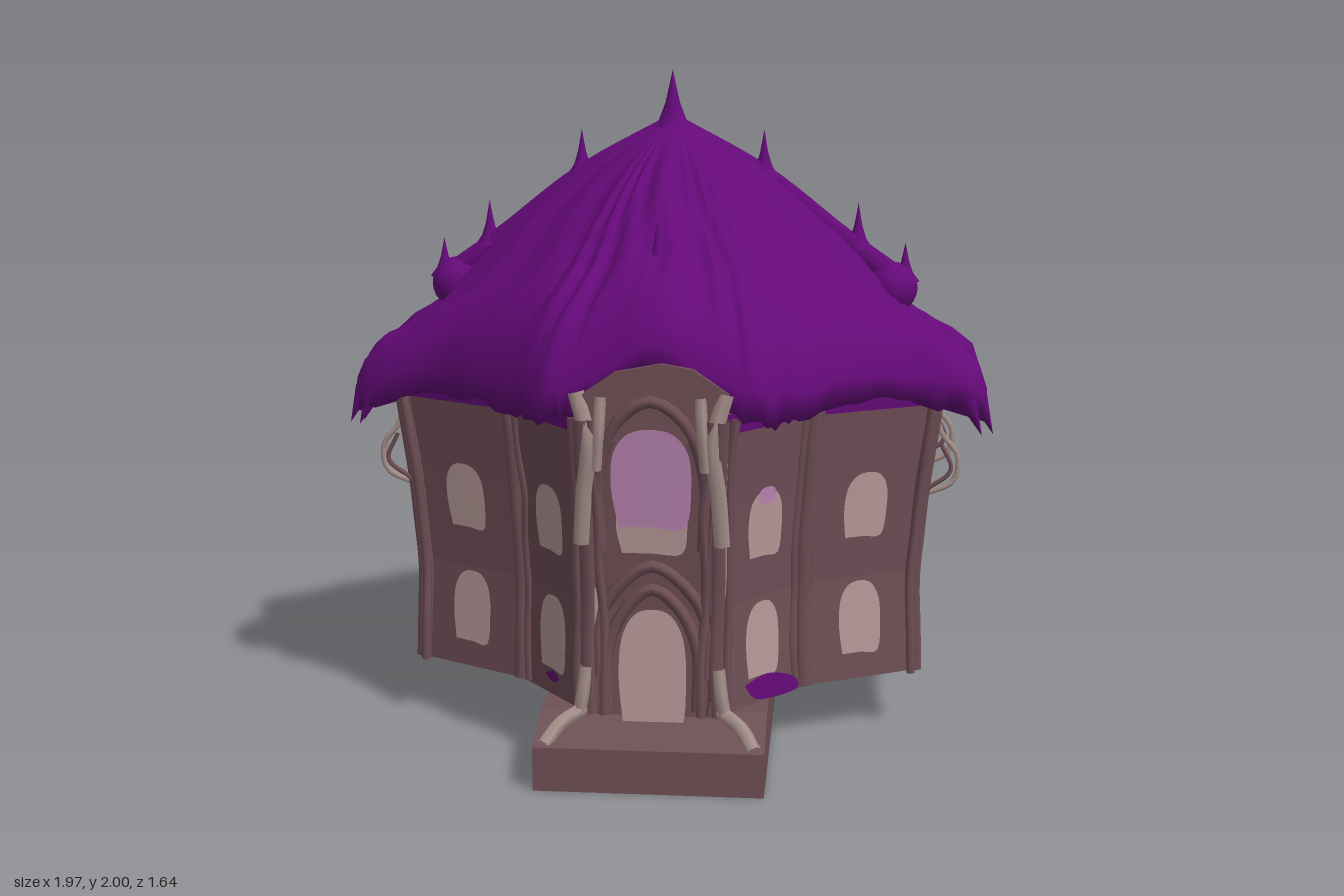
import * as THREE from 'three';

const mat = (name, color, side = THREE.FrontSide) => {
  const m = new THREE.MeshStandardMaterial({ color, side });
  m.name = name;
  return m;
};
const V = (x, y, z) => new THREE.Vector3(x, y, z);

export function createModel() {
  const group = new THREE.Group();
  const roofMat = mat('roof purple', 0x650a79, THREE.DoubleSide);
  const barkMat = mat('bark brown', 0x6f4f56, THREE.DoubleSide);
  const paleMat = mat('pale bark', 0xa58f8a, THREE.DoubleSide);
  const glassMat = mat('window beige', 0xb79a99, THREE.DoubleSide);
  const violetMat = mat('violet glass', 0xbd86b4, THREE.DoubleSide);
  let seed = 7;
  const rand = () => (seed = (seed * 16807) % 2147483647) / 2147483647;
  const jitter = (a) => (rand() - 0.5) * 2 * a;
  const add = (name, geo, material) => {
    const m = new THREE.Mesh(geo, material);
    m.name = name;
    group.add(m);
    return m;
  };
  const tube = (name, pts, r, material, seg = 14) =>
    add(name, new THREE.TubeGeometry(new THREE.CatmullRomCurve3(pts), seg, r, 6), material);

  // Closed surface through rings of points, listed bottom to top
  const loft = (rings) => {
    const n = rings[0].length, idx = [];
    for (let j = 0; j < rings.length - 1; j++) for (let i = 0; i < n; i++) {
      const a = j * n + i, b = j * n + (i + 1) % n;
      idx.push(a, b, b + n, a, b + n, a + n);
    }
    const g = new THREE.BufferGeometry().setFromPoints(rings.flat());
    g.setIndex(idx);
    return g;
  };

  // Walls: twelve-sided star-like plan, flaring towards the purple collar under the eaves
  const half = [[0.185, 0.67], [0.425, 0.38], [0.765, 0.2], [0.765, -0.2], [0.425, -0.38], [0.185, -0.69]];
  const plan = [...half, ...half.map(([x, z]) => [-x, z]).reverse()];
  const levels = [[0.18, 1], [0.5, 0.985], [0.8, 1.02], [1.02, 1.06], [1.08, 1.07]];
  const flare = (y) => {
    for (let i = 1; i < levels.length; i++) {
      const [y0, f0] = levels[i - 1], [y1, f1] = levels[i];
      if (y <= y1 || i === levels.length - 1) return f0 + (f1 - f0) * (y - y0) / (y1 - y0);
    }
  };
  const wallBand = (name, band, material) => {
    const g = loft(band.map(([y, f]) => plan.map(([x, z]) => V(x * f, y, z * f)))).toNonIndexed();
    g.computeVertexNormals();
    add(name, g, material);
  };
  wallBand('walls', levels.slice(0, 4), barkMat);
  wallBand('eaveCollar', levels.slice(3), roofMat);
  const floor = new THREE.ShapeGeometry(new THREE.Shape(plan.map(([x, z]) => new THREE.Vector2(x, z))));
  floor.rotateX(Math.PI / 2).translate(0, 0.18, 0);
  add('floor', floor, barkMat);

  // Point on wall k: u is the distance from the wall's middle, y the height
  const onWall = (k, u, y, off) => {
    const [ax, az] = plan[k], [bx, bz] = plan[(k + 1) % 12];
    const dx = bx - ax, dz = bz - az, l = Math.hypot(dx, dz), f = flare(y);
    return V(((ax + bx) / 2 + dx / l * u) * f - dz / l * off, y, ((az + bz) / 2 + dz / l * u) * f + dx / l * off);
  };
  const plate = (name, k, pts, material, off = 0.01) => {
    const curve = new THREE.SplineCurve([...pts, pts[0]].map(([x, y]) => new THREE.Vector2(x, y)));
    const g = new THREE.ShapeGeometry(new THREE.Shape(curve.getPoints(40)));
    const p = g.attributes.position;
    for (let i = 0; i < p.count; i++) {
      const q = onWall(k, p.getX(i), p.getY(i), off);
      p.setXYZ(i, q.x, q.y, q.z);
    }
    g.computeVertexNormals();
    return add(name, g, material);
  };
  const arched = (w, y0, y1) => {
    const h = y1 - y0;
    return [[-w * 0.85, y0], [0, y0], [w * 0.85, y0], [w, y0 + h * 0.4], [w * 0.92, y0 + h * 0.75], [w * 0.55, y0 + h * 0.95],
      [0, y1], [-w * 0.55, y0 + h * 0.95], [-w * 0.92, y0 + h * 0.75], [-w, y0 + h * 0.4]];
  };
  const lobed = (w, y0, y1) => [[-w, y0], [0, y0 + 0.015], [w, y0], [w * 0.97, y1 - 0.05], [w * 0.55, y1],
    [0, y1 - 0.05], [-w * 0.55, y1], [-w * 0.97, y1 - 0.05]];

  // Windows: wall 11 is the front, 5 the back, 2 and 8 the sides
  const FRONT = 11, BACK = 5;
  for (const k of [0, 1, 3, 4, 6, 7, 9, 10]) {
    plate('lowerWindow', k, arched(0.071, 0.265, 0.49), glassMat);
    plate('upperWindow', k, arched(0.071, 0.63, 0.83), glassMat);
  }
  plate('violetPane', 0, arched(0.035, 0.79, 0.84), violetMat, 0.013);
  for (const k of [2, 8]) {
    plate('sideLowerWindow', k, lobed(0.1, 0.275, 0.48), glassMat);
    plate('sideUpperWindow', k, lobed(0.11, 0.65, 0.85), glassMat);
    tube('sideGarland', [[-0.15, 0.64], [-0.07, 0.58], [0, 0.52], [0.07, 0.58], [0.15, 0.64]]
      .map(([u, y]) => onWall(k, u, y, 0.003)), 0.01, barkMat);
    tube('sideArch', [[-0.17, 0.75], [-0.13, 0.96], [0, 1.04], [0.13, 0.96], [0.17, 0.75]]
      .map(([u, y]) => onWall(k, u, y, 0.003)), 0.016, barkMat);
  }
  plate('frontDoor', FRONT, arched(0.098, 0.15, 0.5), glassMat);
  plate('frontWindowBase', FRONT, arched(0.1, 0.67, 0.86), glassMat, 0.007);
  plate('frontWindow', FRONT, arched(0.11, 0.75, 1.04), violetMat, 0.012);
  plate('backDoor', BACK, arched(0.085, 0.24, 0.47), glassMat);
  plate('backWindow', BACK, arched(0.06, 0.78, 0.93), glassMat);
  for (const u of [-0.07, 0.07]) plate('backPane', BACK, arched(0.03, 0.65, 0.72), glassMat);
  plate('mossPatch', 0, [[-0.08, 0.25], [-0.02, 0.195], [0.15, 0.185], [0.13, 0.23], [0.02, 0.265]], roofMat, 0.012);
  plate('mossSpeck', 10, [[-0.04, 0.24], [0, 0.225], [0.035, 0.24], [0, 0.258]], roofMat);

  // Arch mouldings over doors and the front window
  for (const [k, w, y0, y1] of [[FRONT, 0.13, 0.2, 0.56], [FRONT, 0.155, 0.3, 0.63], [FRONT, 0.145, 0.68, 1.12], [BACK, 0.13, 0.2, 0.56], [BACK, 0.15, 0.65, 1.02]])
    tube('archMoulding', [[-w, y0], [-w, y0 + (y1 - y0) * 0.5], [-w * 0.6, y1 - 0.06], [0, y1], [w * 0.6, y1 - 0.06], [w, y0 + (y1 - y0) * 0.5], [w, y0]]
      .map(([u, y]) => onWall(k, u, y, 0.002)), 0.018, barkMat, 28);

  // Front gable rising into the eaves
  const gable = new THREE.Shape([[-0.21, 1], [0.21, 1], [0.22, 1.14], [0.12, 1.21], [0.03, 1.225], [-0.1, 1.2], [-0.2, 1.13]]
    .map(([x, y]) => new THREE.Vector2(x, y)));
  add('frontGable', new THREE.ExtrudeGeometry(gable, { depth: 0.08, bevelEnabled: false }), barkMat).position.z = 0.638;

  // Corner columns made of wandering bark strands
  plan.forEach(([x, z], k) => {
    const front = z > 0.6;
    for (let s = 0; s < 5; s++) {
      const l = Math.hypot(x, z), spread = s === 0 ? 0 : (s - 2.5) * 0.024, pts = [];
      for (let j = 0; j <= 6; j++) {
        const y = 0.185 + j * 0.147, f = flare(y);
        const a = spread + jitter(s ? 0.012 : 0.004);
        pts.push(V(x * f - z / l * a, y, z * f + x / l * a));
      }
      tube('cornerStrand', pts, s ? 0.014 : 0.026, front && s === 2 ? paleMat : barkMat, 18);
    }
  });
  for (const sx of [-1, 1]) {
    // Pale split bark framing the front window and the foot of the door
    tube('frontPaleStrand', [V(sx * 0.21, 1.14, 0.7), V(sx * 0.175, 1.0, 0.715), V(sx * 0.19, 0.85, 0.7), V(sx * 0.2, 0.7, 0.685)], 0.026, paleMat);
    tube('frontPaleStrand', [V(sx * 0.14, 1.13, 0.715), V(sx * 0.145, 1.04, 0.725), V(sx * 0.155, 0.92, 0.715)], 0.017, paleMat);
    tube('frontPaleFoot', [V(sx * 0.19, 0.33, 0.68), V(sx * 0.2, 0.25, 0.69), V(sx * 0.21, 0.19, 0.69)], 0.02, paleMat, 6);
    // Hanging vine loops beside the outer corners
    for (const sz of [-1, 1]) {
      tube('vineLoop', [[0.81, 1.03], [0.83, 0.93], [0.88, 0.86], [0.87, 0.78], [0.79, 0.74]].map(([x, y]) => V(sx * x, y, sz * 0.19)), 0.009, paleMat);
      tube('vineLoop', [[0.83, 0.9], [0.86, 0.82], [0.79, 0.76]].map(([x, y]) => V(sx * x, y, sz * 0.22)), 0.007, barkMat);
    }
  }

  // Stone base with sloping porch and pale rails
  const side = new THREE.Shape([[-0.35, 0], [0.82, 0], [0.82, 0.13], [0.62, 0.18], [-0.35, 0.18]].map(([a, b]) => new THREE.Vector2(a, b)));
  const base = new THREE.ExtrudeGeometry(side, { depth: 0.66, bevelEnabled: false });
  base.rotateY(-Math.PI / 2).translate(0.33, 0, 0);
  add('base', base, barkMat);
  for (const sx of [-1, 1])
    tube('porchRail', [V(sx * 0.2, 0.2, 0.68), V(sx * 0.26, 0.175, 0.74), V(sx * 0.3, 0.13, 0.8)], 0.022, paleMat, 6);

  // Roof: half of the eave line as x, y, z and how far the slope runs out into an arm
  const eave = [[0, 1.2, 0.7, 0], [0.2, 1.09, 0.7, 0], [0.31, 1.05, 0.69, 0], [0.41, 1.05, 0.59, 0], [0.7, 1.05, 0.32, 0.3],
    [0.965, 0.98, 0.18, 1], [0.88, 1.05, 0, 0.8], [0.965, 0.98, -0.19, 1], [0.65, 1.05, -0.39, 0.3],
    [0.37, 1.04, -0.6, 0], [0.24, 0.99, -0.81, 0.15], [0, 1.04, -0.78, 0.1]];
  const keys = [...eave, ...eave.slice(1, -1).reverse().map(([x, y, z, w]) => [-x, y, z, w])];
  const eaveLine = new THREE.CatmullRomCurve3(keys.map(([x, y, z]) => V(x, y, z)), true);
  // Each step: fraction of the way out, height on the dome, height on an arm
  const slope = [[1, 0, 0], [0.998, 0.1, 0.09], [0.97, 0.2, 0.165], [0.92, 0.29, 0.21], [0.86, 0.37, 0.24], [0.78, 0.435, 0.29],
    [0.7, 0.5, 0.38], [0.62, 0.565, 0.48], [0.54, 0.63, 0.57], [0.46, 0.695, 0.65], [0.38, 0.76, 0.73], [0.29, 0.83, 0.81],
    [0.2, 0.89, 0.88], [0.1, 0.95, 0.95], [0, 1, 1]];
  const N = 176, rings = [[], ...slope.map(() => [])];
  for (let i = 0; i < N; i++) {
    const u = i / N * keys.length, k = Math.floor(u), e = eaveLine.getPoint(i / N);
    const w = THREE.MathUtils.lerp(keys[k][3], keys[(k + 1) % keys.length][3], u - k);
    rings[0].push(V(e.x * 0.82, e.y + 0.03, e.z * 0.82));
    slope.forEach(([s, dome, arm], j) => {
      const ripple = 0.013 * Math.sin(i * 0.9 + 1.6 * Math.sin(j * 0.8)) * Math.sin(Math.PI * s * 0.85) * Math.min(1, s * 2) + (j ? jitter(0.009) * s : jitter(0.014));
      rings[j + 1].push(V(e.x * s, e.y + (1.86 - e.y) * THREE.MathUtils.lerp(dome, arm, w) + ripple, e.z * s));
    });
  }
  const roof = loft(rings);
  roof.computeVertexNormals();
  add('roof', roof, roofMat);

  // Thorns on the apex and ridges
  const thorn = (x, y, z, r, h) => {
    const pts = [[1, 0], [0.55, 0.22], [0.28, 0.5], [0.12, 0.78], [0, 1]].map(([a, b]) => new THREE.Vector2(a * r, b * h));
    add('roofThorn', new THREE.LatheGeometry(pts, 12), roofMat).position.set(x, y, z);
  };
  thorn(0, 1.8, 0, 0.08, 0.2);
  for (const s of [-1, 1]) {
    thorn(s * 0.28, 1.68, 0, 0.045, 0.14);
    thorn(s * 0.57, 1.46, 0, 0.045, 0.14);
    thorn(s * 0.715, 1.36, 0, 0.045, 0.12);
    thorn(0, 1.46, s * 0.495, 0.04, 0.14);
    tube('ridge', [V(0, 1.83, 0), V(s * 0.28, 1.675, 0), V(s * 0.52, 1.49, 0), V(s * 0.69, 1.37, 0)], 0.04, roofMat);
    const knob = add('ridgeKnob', new THREE.SphereGeometry(0.08, 16, 12), roofMat);
    knob.position.set(s * 0.675, 1.34, 0);
    // Ragged claws on the drooping side corners
    for (const z of [0.18, -0.19]) for (let c = -1; c <= 1; c++) {
      const claw = add('eaveClaw', new THREE.ConeGeometry(0.028, 0.12, 7), roofMat);
      claw.position.set(s * (0.962 - Math.abs(c) * 0.035), 0.98, z + c * 0.028);
      claw.rotation.set(Math.PI, 0, -s * 0.4);
    }
  }
  return group;
}
